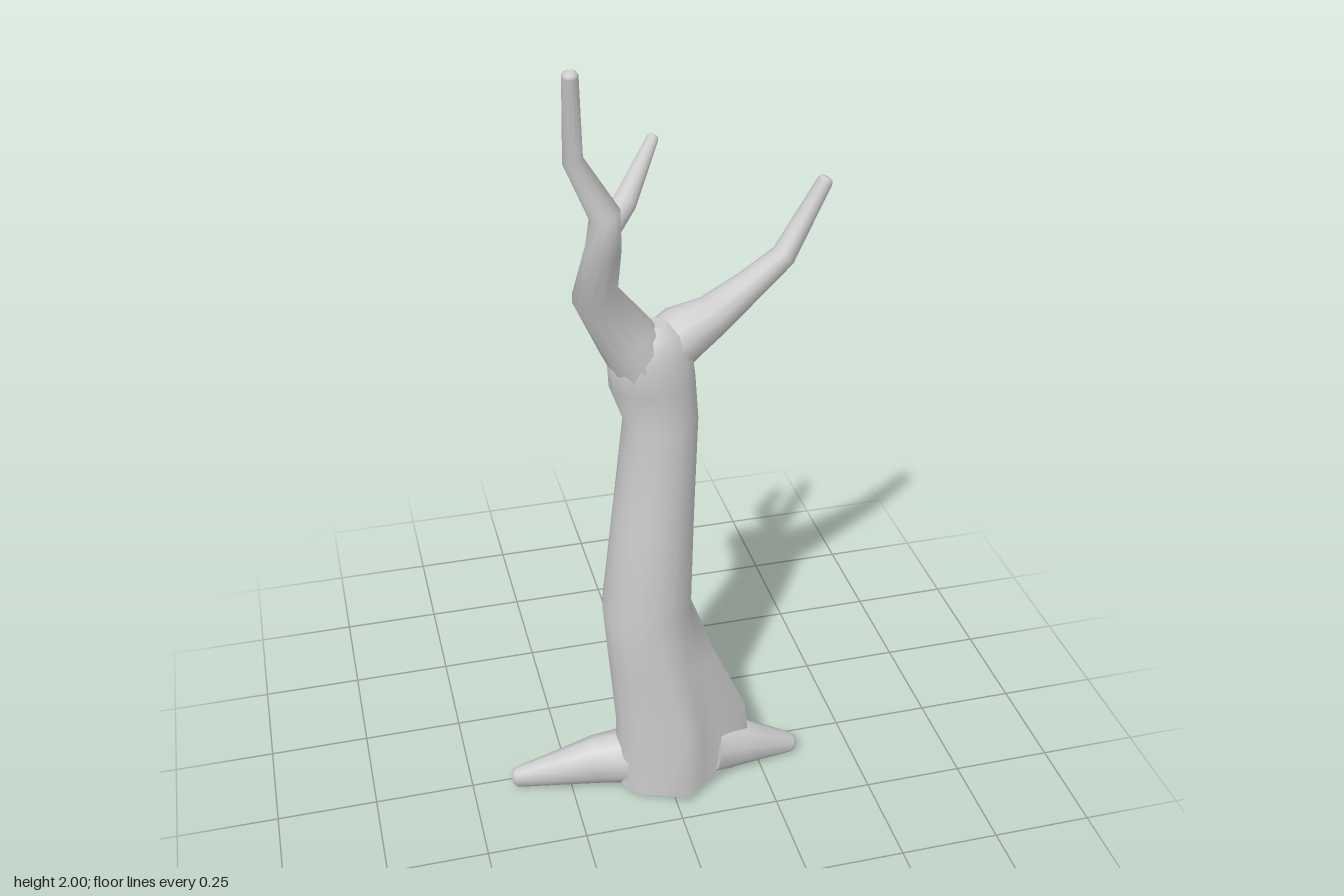
import * as THREE from 'three';

const material = new THREE.MeshStandardMaterial({ color: 0xcccccc, side: THREE.DoubleSide });

// Skins a list of equal-sized rings (arrays of Vector3) and closes both ends.
function skin(name, rings) {
  const n = rings[0].length;
  const positions = [], index = [];
  for (const ring of rings) for (const p of ring) positions.push(p.x, p.y, p.z);
  for (let j = 0; j < rings.length - 1; j++) {
    for (let i = 0; i < n; i++) {
      const a = j * n + i, b = j * n + (i + 1) % n;
      index.push(a, a + n, b, b, a + n, b + n);
    }
  }
  // End caps have their own vertices so that their rims stay crisp
  [rings[0], rings[rings.length - 1]].forEach((ring, end) => {
    const base = positions.length / 3;
    const centre = new THREE.Vector3();
    for (const p of ring) {
      centre.addScaledVector(p, 1 / n);
      positions.push(p.x, p.y, p.z);
    }
    positions.push(centre.x, centre.y, centre.z);
    for (let i = 0; i < n; i++) {
      const a = base + i, b = base + (i + 1) % n;
      if (end) index.push(a, base + n, b);
      else index.push(a, b, base + n);
    }
  });
  const geometry = new THREE.BufferGeometry();
  geometry.setAttribute('position', new THREE.Float32BufferAttribute(positions, 3));
  geometry.setIndex(index);
  geometry.computeVertexNormals();
  const mesh = new THREE.Mesh(geometry, material);
  mesh.name = name;
  return mesh;
}

// Tapered limb through stations [x, y, z, radius], with a rounded tip.
function limb(name, stations, sides = 12) {
  const points = stations.map(([x, y, z]) => new THREE.Vector3(x, y, z));
  const up = new THREE.Vector3(0, 1, 0);
  const last = points.length - 1;
  const ringAt = (centre, dir, radius) => {
    const q = new THREE.Quaternion().setFromUnitVectors(up, dir);
    return Array.from({ length: sides }, (_, i) => {
      const a = i / sides * Math.PI * 2;
      return new THREE.Vector3(Math.cos(a) * radius, 0, Math.sin(a) * radius)
        .applyQuaternion(q).add(centre);
    });
  };
  const direction = (i) => {
    const d = new THREE.Vector3();
    if (i > 0) d.add(points[i].clone().sub(points[i - 1]).normalize());
    if (i < last) d.add(points[i + 1].clone().sub(points[i]).normalize());
    return d.normalize();
  };
  const rings = points.map((p, i) => ringAt(p, direction(i), stations[i][3]));
  const tipDir = direction(last), r = stations[last][3];
  for (const [along, width] of [[0.35, 0.85], [0.55, 0.5]]) {
    rings.push(ringAt(points[last].clone().addScaledVector(tipDir, along * r), tipDir, width * r));
  }
  return skin(name, rings);
}

// Root running along the ground from the trunk to its tip, taller than wide.
function root(name, [x0, z0], [x1, z1]) {
  const length = Math.hypot(x1 - x0, z1 - z0) - 0.012;
  const mesh = limb(name, [
    [0, 0.09, 0, 0.08],
    [length * 0.35, 0.078, 0, 0.066],
    [length * 0.6, 0.06, 0, 0.051],
    [length, 0.033, 0, 0.028],
  ], 10);
  const p = mesh.geometry.attributes.position;
  for (let i = 0; i < p.count; i++) p.setY(i, Math.max(p.getY(i), 0.002));
  mesh.geometry.scale(1, 1, 0.85);
  mesh.geometry.computeVertexNormals();
  mesh.position.set(x0, 0, z0);
  mesh.rotation.y = -Math.atan2(z1 - z0, x1 - x0);
  return mesh;
}

// Trunk: a buttressed foot outline blending into plain oval sections.
function trunk() {
  const foot = [
    [0.22, 0.055], [0.225, 0.1], [0.13, 0.135], [0.08, 0.165],
    [0.03, 0.205], [-0.04, 0.175], [-0.09, 0.16], [-0.125, 0.12],
    [-0.13, 0.07], [-0.12, 0.03], [-0.085, 0], [-0.06, -0.045],
    [-0.02, -0.09], [0.03, -0.1], [0.06, -0.07], [0.1, 0],
  ];
  // [height, centre x, centre z, radius x, radius z, share of foot outline]
  const sections = [
    [0.025, 0, 0, 0, 0, 1],
    [0.22, -0.025, 0.07, 0.11, 0.115, 0.85],
    [0.4, -0.045, 0.07, 0.11, 0.113, 0.38],
    [0.57, -0.05, 0.072, 0.11, 0.112, 0],
    [0.84, -0.032, 0.07, 0.098, 0.097, 0],
    [1.1, -0.0135, 0.068, 0.088, 0.083, 0],
    [1.2, -0.036, 0.08, 0.101, 0.081, 0],
    [1.28, -0.045, 0.088, 0.098, 0.074, 0],
    [1.33, -0.04, 0.088, 0.07, 0.055, 0],
    [1.35, -0.035, 0.086, 0.03, 0.025, 0],
  ];
  return skin('trunk', sections.map(([y, cx, cz, rx, rz, share]) => foot.map(([fx, fz], i) => {
    const a = i / foot.length * Math.PI * 2;
    return new THREE.Vector3(
      THREE.MathUtils.lerp(cx + rx * Math.cos(a), fx, share), y,
      THREE.MathUtils.lerp(cz + rz * Math.sin(a), fz, share));
  })));
}

export function createModel() {
  const tree = new THREE.Group();
  tree.name = 'bareTree';
  tree.add(trunk());

  // Branches
  tree.add(limb('leftBranch', [
    [-0.04, 1.25, 0.078, 0.07],
    [0.04, 1.305, 0.062, 0.066],
    [0.11, 1.333, 0.052, 0.049],
    [0.2, 1.385, 0.03, 0.037],
    [0.288, 1.44, 0.007, 0.029],
    [0.378, 1.612, 0.007, 0.018],
  ]));
  tree.add(limb('rightBranch', [
    [-0.045, 1.22, 0.085, 0.07],
    [-0.1, 1.33, 0.095, 0.068],
    [-0.172, 1.45, 0.115, 0.051],
    [-0.172, 1.6, 0.211, 0.039],
    [-0.168, 1.68, 0.214, 0.034],
    [-0.23, 1.8, 0.207, 0.022],
    [-0.24, 1.991, 0.254, 0.017],
  ]));
  tree.add(limb('twig', [
    [-0.172, 1.64, 0.212, 0.033],
    [-0.12, 1.688, 0.184, 0.026],
    [-0.034, 1.778, 0.077, 0.013],
  ]));

  // Roots
  tree.add(root('rightRoot', [-0.08, 0.075], [-0.395, 0.025]));
  tree.add(root('leftRoot', [0.12, 0.09], [0.352, 0.07]));
  tree.add(root('backRoot', [0.03, -0.03], [-0.02, -0.272]));
  return tree;
}
